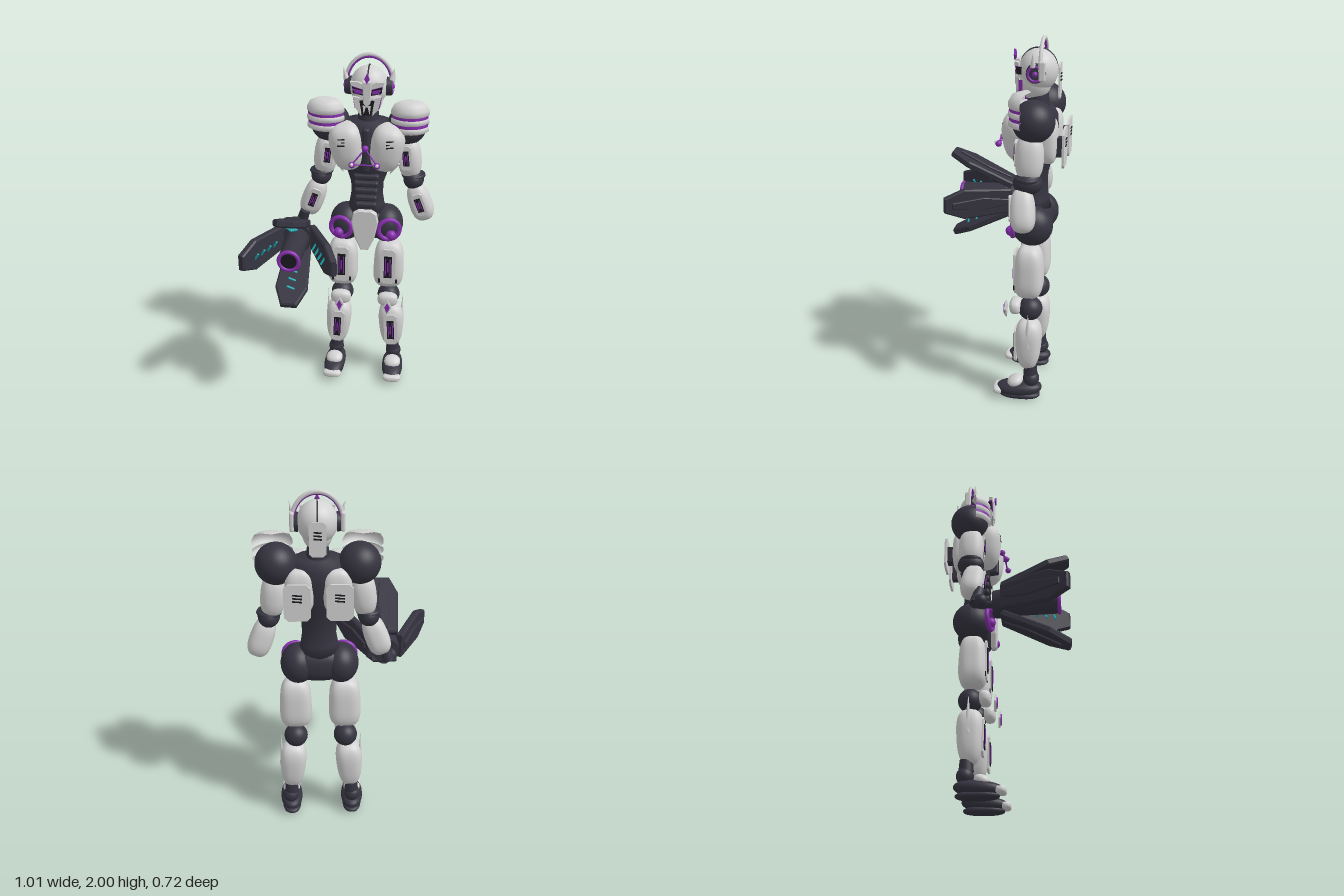
import * as THREE from 'three';
import { RoundedBoxGeometry } from 'three/addons/geometries/RoundedBoxGeometry.js';

const mat = (name, color, side = THREE.FrontSide) => {
  const m = new THREE.MeshStandardMaterial({ color, side });
  m.name = name;
  return m;
};
const white = mat('shell white', 0xd2d2d2, THREE.DoubleSide);
const dark = mat('dark joint', 0x353440);
const black = mat('black inset', 0x1b1a20);
const purple = mat('purple trim', 0x8a2fb0);
const cyan = mat('cyan spike', 0x18aab2);

const add = (parent, name, geo, m, pos = [0, 0, 0], rot = [0, 0, 0], scale = [1, 1, 1]) => {
  const mesh = new THREE.Mesh(geo, m);
  mesh.name = name;
  mesh.position.set(...pos);
  mesh.rotation.set(...rot);
  mesh.scale.set(...scale);
  parent.add(mesh);
  return mesh;
};
const group = (parent, name, pos = [0, 0, 0], rot = [0, 0, 0]) => {
  const g = new THREE.Group();
  g.name = name;
  g.position.set(...pos);
  g.rotation.set(...rot);
  parent.add(g);
  return g;
};
// superellipsoid: p = 2 is round, larger is boxier; taper widens the top
const blob = (rx, ry, rz, p = 2, taper = 0) => {
  const geo = new THREE.SphereGeometry(1, 32, 24);
  const a = geo.attributes.position;
  for (let i = 0; i < a.count; i++) {
    const v = new THREE.Vector3().fromBufferAttribute(a, i);
    v.divideScalar((Math.abs(v.x) ** p + Math.abs(v.y) ** p + Math.abs(v.z) ** p) ** (1 / p));
    const t = 1 + taper * v.y;
    a.setXYZ(i, v.x * rx * t, v.y * ry, v.z * rz * t);
  }
  geo.computeVertexNormals();
  return geo;
};
const ball = (r) => new THREE.SphereGeometry(r, 32, 20);
const box = (w, h, d) => new THREE.BoxGeometry(w, h, d);
const lathe = (pts, ...arc) => new THREE.LatheGeometry(pts.map((p) => new THREE.Vector2(...p)), 36, ...arc);
const prism = (pts, depth, bevel = 0) => new THREE.ExtrudeGeometry(
  new THREE.Shape(pts.map((p) => new THREE.Vector2(...p))),
  { depth, bevelEnabled: bevel > 0, bevelSize: bevel, bevelThickness: bevel, bevelSegments: 1 });
const chamfer = (w, h, c) => [[-w, -h + c], [-w + c, -h], [w - c, -h], [w, -h + c], [w, h - c], [w - c, h], [-w + c, h], [-w, h - c]];

// raised plate with a dark slot and purple bars
const panel = (parent, w, h, pos, rot) => {
  const g = group(parent, 'limbPanel', pos, rot);
  add(g, 'panelPlate', prism(chamfer(w * 0.95, h * 0.8, w * 0.4), 0.012), white, [0, 0, -0.012]);
  add(g, 'panelSlot', box(w, h, 0.006), black, [0, 0, 0.002]);
  for (const k of [-1, 1]) add(g, 'panelRail', box(w * 0.14, h * 0.8, 0.006), purple, [k * w * 0.3, 0, 0.004]);
  add(g, 'panelCore', box(w * 0.2, h * 0.45, 0.006), purple, [0, 0, 0.004]);
};
const vents = (parent, w, pos, rot) => {
  const g = group(parent, 'vents', pos, rot);
  for (let i = -1; i <= 1; i++) add(g, 'ventSlit', box(w, 0.007, 0.006), black, [0, i * 0.017, 0], [0, 0, 0.1]);
};

function buildHead(body) {
  const h = group(body, 'head', [0, 1.83, -0.195]);
  add(h, 'skull', blob(0.102, 0.11, 0.1), white);
  add(h, 'jaw', blob(0.078, 0.085, 0.085, 2.3, 0.15), white, [0, -0.068, 0.018]);
  add(h, 'mouth', prism([[-0.04, -0.05], [0.04, -0.05], [0.025, -0.13], [-0.025, -0.13]], 0.008), black, [0, 0, 0.1]);
  add(h, 'nose', prism([[-0.02, 0.05], [0.02, 0.05], [0.014, -0.06], [0, -0.08], [-0.014, -0.06]], 0.02, 0.005), white, [0, 0, 0.095]);
  add(h, 'foreheadGem', prism([[0, 0.1], [0.014, 0.07], [0, 0.045], [-0.014, 0.07]], 0.012), purple, [0, 0, 0.115]);
  add(h, 'crownSeam', new THREE.TorusGeometry(0.1, 0.004, 6, 32, Math.PI), dark, [0, 0.007, 0], [0, Math.PI / 2, 0], [0.96, 1.05, 1]);
  for (const s of [-1, 1]) {
    const p = (pts) => pts.map(([x, y]) => [s * x, y]);
    add(h, 'eyeSocket', prism(p([[0.018, -0.025], [0.075, -0.012], [0.08, 0.025], [0.02, 0.012]]), 0.025), black, [0, 0, 0.077]);
    add(h, 'eye', prism(p([[0.024, -0.013], [0.06, -0.012], [0.076, 0.012], [0.03, 0.002]]), 0.008), purple, [0, 0, 0.101]);
    add(h, 'brow', prism(p([[0.015, 0.01], [0.085, 0.03], [0.09, 0.05], [0.05, 0.05], [0.015, 0.035]]), 0.02), white, [0, 0, 0.09]);
    add(h, 'browTrim', prism(p([[0.015, 0.005], [0.083, 0.026], [0.085, 0.032], [0.015, 0.012]]), 0.018), purple, [0, 0, 0.09]);
    add(h, 'cheekFang', prism(p([[0.03, -0.04], [0.075, -0.03], [0.062, -0.09], [0.03, -0.135], [0.038, -0.085]]), 0.018), white, [0, 0, 0.088]);
    add(h, 'tooth', prism(p([[0.004, -0.08], [0.022, -0.075], [0.016, -0.125]]), 0.01), white, [0, 0, 0.103]);
    add(h, 'cheekTrim', prism(p([[0.068, -0.045], [0.076, -0.04], [0.066, -0.095], [0.06, -0.1]]), 0.02), purple, [0, 0, 0.072]);
    // headset
    add(h, 'earCup', new THREE.CylinderGeometry(0.046, 0.05, 0.03, 28), dark, [s * 0.11, 0, 0], [0, 0, -s * Math.PI / 2]);
    add(h, 'earRing', new THREE.TorusGeometry(0.036, 0.007, 8, 28), purple, [s * 0.124, 0, 0], [0, Math.PI / 2, 0]);
    add(h, 'earHub', ball(0.014), purple, [s * 0.124, 0, 0]);
    add(h, 'earShell', new RoundedBoxGeometry(0.022, 0.1, 0.035, 3, 0.009), white, [s * 0.125, 0.015, -0.035]);
    add(h, 'earHorn', new THREE.ConeGeometry(0.016, 0.07, 12), white, [s * 0.128, 0.07, 0.01], [0, 0, -s * 0.25]);
  }
  add(h, 'headband', new THREE.TorusGeometry(0.125, 0.01, 10, 40, Math.PI), white, [0, 0.015, -0.025], [0, 0, 0], [1, 1.17, 1]);
  add(h, 'headbandLining', new THREE.TorusGeometry(0.117, 0.007, 8, 40, Math.PI), purple, [0, 0.015, -0.022], [0, 0, 0], [1, 1.17, 1]);
  add(h, 'headBackPlate', prism(chamfer(0.042, 0.09, 0.015), 0.008), white, [0, -0.05, -0.114]);
  vents(h, 0.04, [0, -0.03, -0.115]);
  add(body, 'neck', new THREE.CylinderGeometry(0.05, 0.062, 0.12, 24), dark, [0, 1.68, -0.195]);
}

function buildTorso(body) {
  add(body, 'torsoCore', lathe([[0, 1.07], [0.12, 1.09], [0.1, 1.15], [0.09, 1.21], [0.092, 1.28], [0.118, 1.36],
    [0.15, 1.44], [0.165, 1.53], [0.158, 1.6], [0.12, 1.645], [0, 1.66]]), dark, [0, 0, -0.19], [0, 0, 0], [1, 1, 0.68]);
  for (let i = 0; i < 5; i++) {
    add(body, 'abdomenRib', new RoundedBoxGeometry(0.145 - 0.006 * i, 0.035, 0.06, 3, 0.014), dark, [0, 1.335 - i * 0.043, -0.13]);
  }
  add(body, 'sternum', new RoundedBoxGeometry(0.04, 0.25, 0.06, 3, 0.015), dark, [0, 1.51, -0.08]);
  for (const s of [-1, 1]) {
    add(body, 'chestShell', blob(0.092, 0.135, 0.1, 2.7, 0.12), white, [s * 0.108, 1.51, -0.132], [0, 0, -s * 0.15]);
    add(body, 'chestTip', new THREE.ConeGeometry(0.025, 0.08, 16), white, [s * 0.145, 1.385, -0.14], [Math.PI, 0, s * 0.4]);
    vents(body, 0.04, [s * 0.13, 1.56, -0.034], [-0.08, s * 0.15, 0]);
    add(body, 'backPod', blob(0.075, 0.12, 0.05, 3), white, [s * 0.095, 1.49, -0.265]);
    add(body, 'backPlate', prism(chamfer(0.068, 0.1, 0.022), 0.012), white, [s * 0.106, 1.463, -0.355]);
    add(body, 'backPlateMount', box(0.05, 0.1, 0.045), dark, [s * 0.106, 1.463, -0.324]);
    vents(body, 0.05, [s * 0.106, 1.49, -0.356]);
    // chest emblem nodes and links
    add(body, 'chestNode', ball(0.017), purple, [s * 0.068, 1.45, 0]);
    add(body, 'chestNodeCap', ball(0.01), white, [s * 0.068, 1.455, 0.011]);
    add(body, 'chestLink', new THREE.CylinderGeometry(0.004, 0.004, 0.115, 8), purple, [s * 0.034, 1.493, -0.014], [-0.3, 0, s * 0.67]);
  }
  add(body, 'chestNode', ball(0.018), purple, [0, 1.535, -0.03]);
  add(body, 'chestBar', new THREE.CylinderGeometry(0.004, 0.004, 0.136, 8), purple, [0, 1.45, -0.005], [0, 0, Math.PI / 2]);
  // pelvis
  add(body, 'pelvis', blob(0.17, 0.1, 0.095, 2.4), dark, [0, 1.03, -0.19]);
  for (const s of [-1, 1]) {
    add(body, 'hip', blob(0.095, 0.11, 0.11), dark, [s * 0.115, 1.025, -0.19]);
    add(body, 'hipRing', new THREE.TorusGeometry(0.06, 0.013, 10, 36), purple, [s * 0.137, 1.03, -0.088], [0, s * 0.2, 0]);
    add(body, 'hipNode', ball(0.028), purple, [s * 0.15, 1.0, -0.082]);
  }
  add(body, 'loinPlate', prism([[-0.06, 1.13], [-0.035, 1.145], [0.035, 1.145], [0.06, 1.13], [0.07, 1.08], [0.05, 0.98],
    [0.018, 0.91], [-0.018, 0.91], [-0.05, 0.98], [-0.07, 1.08]], 0.02, 0.006), white, [0, 0, -0.085]);
}

function buildArm(body, s) {
  add(body, 'shoulderBall', ball(0.108), dark, [s * 0.21, 1.615, -0.205]);
  // layered pauldron covering the front of the shoulder
  const p = group(body, 'pauldron', [s * 0.225, 1.615, -0.195], [0, s * 0.06, 0]);
  const arc = [-1.15, 2.3];
  add(p, 'pauldronDome', lathe([[0.1, 0.07], [0.113, 0.082], [0.112, 0.105], [0.095, 0.135], [0.06, 0.148], [0, 0.15]], ...arc), white);
  for (const y of [0.026, -0.02]) {
    add(p, 'pauldronBand', lathe([[0.1, y], [0.113, y + 0.009], [0.113, y + 0.03], [0.1, y + 0.039]], ...arc), white);
  }
  add(p, 'pauldronTrim', lathe([[0.107, -0.015], [0.107, 0.075]], ...arc), purple);
  const upper = group(body, 'upperArm', [s * 0.232, 1.435, -0.19], [0, 0, s * 0.12]);
  add(upper, 'upperArmShell', blob(0.066, 0.125, 0.072, 2.4), white);
  panel(upper, 0.034, 0.085, [-s * 0.015, 0.02, 0.074], [0, 0, 0]);
  add(body, 'elbow', blob(0.058, 0.058, 0.075), dark, [s * 0.26, 1.31, -0.187]);
  add(body, 'elbowBand', new THREE.TorusGeometry(0.055, 0.012, 8, 28), dark, [s * 0.258, 1.335, -0.187], [Math.PI / 2, 0, 0]);
  const fore = group(body, 'forearm', [s * 0.302, 1.18, -0.17], [0.08, 0, s * 0.36]);
  add(fore, 'forearmShell', blob(0.063, 0.115, 0.063, 2.7, -0.08), white);
  panel(fore, 0.034, 0.085, [0, 0.01, 0.066], [0, 0, 0]);
}

function buildLeg(body, s) {
  const thigh = group(body, 'thigh', [s * 0.136, 0.768, -0.18]);
  add(thigh, 'thighShell', blob(0.087, 0.148, 0.076, 3.4, -0.07), white);
  panel(thigh, 0.045, 0.14, [0, 0.01, 0.08]);
  for (const k of [-1, 1]) add(thigh, 'thighStud', box(0.012, 0.025, 0.006), black, [k * 0.05, -0.085, 0.075]);
  add(body, 'knee', ball(0.066), dark, [s * 0.14, 0.545, -0.19]);
  add(body, 'kneeCap', blob(0.06, 0.042, 0.035, 2.6), white, [s * 0.14, 0.555, -0.11]);
  add(body, 'kneeShield', prism([[0, 0.05], [0.026, 0.005], [0, -0.05], [-0.026, 0.005]], 0.012), white, [s * 0.142, 0.53, -0.06]);
  add(body, 'kneeGem', prism([[0, 0.034], [0.016, 0.003], [0, -0.034], [-0.016, 0.003]], 0.008), purple, [s * 0.142, 0.53, -0.05]);
  const shin = group(body, 'shin', [s * 0.163, 0.335, -0.185], [0, 0, s * 0.05]);
  add(shin, 'shinShell', blob(0.073, 0.15, 0.07, 2.8, 0.16), white);
  panel(shin, 0.042, 0.13, [0, 0.0, 0.075]);
  add(shin, 'calfFin', new THREE.ConeGeometry(0.022, 0.21, 16), white, [s * 0.068, 0.11, -0.005], [0, 0, -s * 0.05], [0.6, 1, 1]);
  add(body, 'ankleNeck', new THREE.CylinderGeometry(0.035, 0.04, 0.06, 20), dark, [s * 0.175, 0.18, -0.2]);
  add(body, 'ankle', ball(0.046), dark, [s * 0.18, 0.125, -0.205]);
  // foot
  const foot = group(body, 'foot', [s * 0.18, 0, -0.135], [0, s * 0.04, 0]);
  add(foot, 'shoe', blob(0.063, 0.04, 0.13, 2.3), dark, [0, 0.06, 0], [0.08, 0, 0]);
  add(foot, 'sole', blob(0.055, 0.022, 0.115, 2.5), dark, [0, 0.022, -0.005]);
  add(foot, 'instep', blob(0.05, 0.03, 0.045, 2.2), white, [0, 0.1, 0.02], [0.4, 0, 0]);
  add(foot, 'toeCap', blob(0.055, 0.022, 0.03, 2.8), white, [0, 0.047, 0.115]);
}

function buildWeapon(root) {
  const w = group(root, 'armCannon', [-0.247, 1.007, 0]);
  const lie = [Math.PI / 2, 0, 0];
  add(w, 'wristBall', ball(0.036), dark, [-0.02, 0.015, -0.115]);
  add(w, 'wristLink', new THREE.CylinderGeometry(0.028, 0.034, 0.11, 16), dark, [0.005, 0.05, -0.135], [0.2, 0, -0.3]);
  add(w, 'mountRod', new THREE.CylinderGeometry(0.022, 0.022, 0.09, 16), dark, [0, 0, -0.08], lie);
  add(w, 'cannonBase', new THREE.CylinderGeometry(0.085, 0.073, 0.09, 24), dark, [0, 0, -0.005], lie);
  add(w, 'barrel', new THREE.CylinderGeometry(0.06, 0.068, 0.3, 28), dark, [0, 0, 0.15], lie);
  add(w, 'muzzleRing', new THREE.TorusGeometry(0.054, 0.011, 10, 36), purple, [0, 0, 0.302]);
  add(w, 'muzzleBore', new THREE.CylinderGeometry(0.044, 0.044, 0.006, 28), black, [0, 0, 0.302], lie);
  // four splayed blades around the barrel
  for (let i = 0; i < 4; i++) {
    const arm = group(w, 'bladeArm', [0, 0, 0], [0, 0, i * Math.PI / 2]);
    const b = group(arm, 'blade', [0, 0.096, 0], [-0.44, 0, 0]);
    add(b, 'bladeBody', prism([[-0.062, 0], [0.062, 0], [0.081, 0.27], [0.038, 0.38], [-0.038, 0.38], [-0.081, 0.27]], 0.024, 0.008), dark, [0, -0.002, 0], lie);
    add(b, 'bladeRidge', prism([[-0.012, 0.02], [0.012, 0.02], [0.032, 0.16], [0.014, 0.34], [-0.014, 0.34], [-0.032, 0.16]], 0.01, 0.004), dark, [0, 0.014, 0], lie);
    for (let k = 0; k < 4; k++) {
      add(b, 'energySpike', new THREE.CylinderGeometry(0.006, 0.006, 0.045, 10), cyan, [0, -0.042, 0.12 + k * 0.055], [0, 0, 1.0]);
    }
  }
}

export function createModel() {
  const root = new THREE.Group();
  root.name = 'robot';
  const body = group(root, 'body', [0.12, 0, 0]);
  buildHead(body);
  buildTorso(body);
  for (const s of [-1, 1]) {
    buildArm(body, s);
    buildLeg(body, s);
  }
  buildWeapon(root);
  return root;
}
